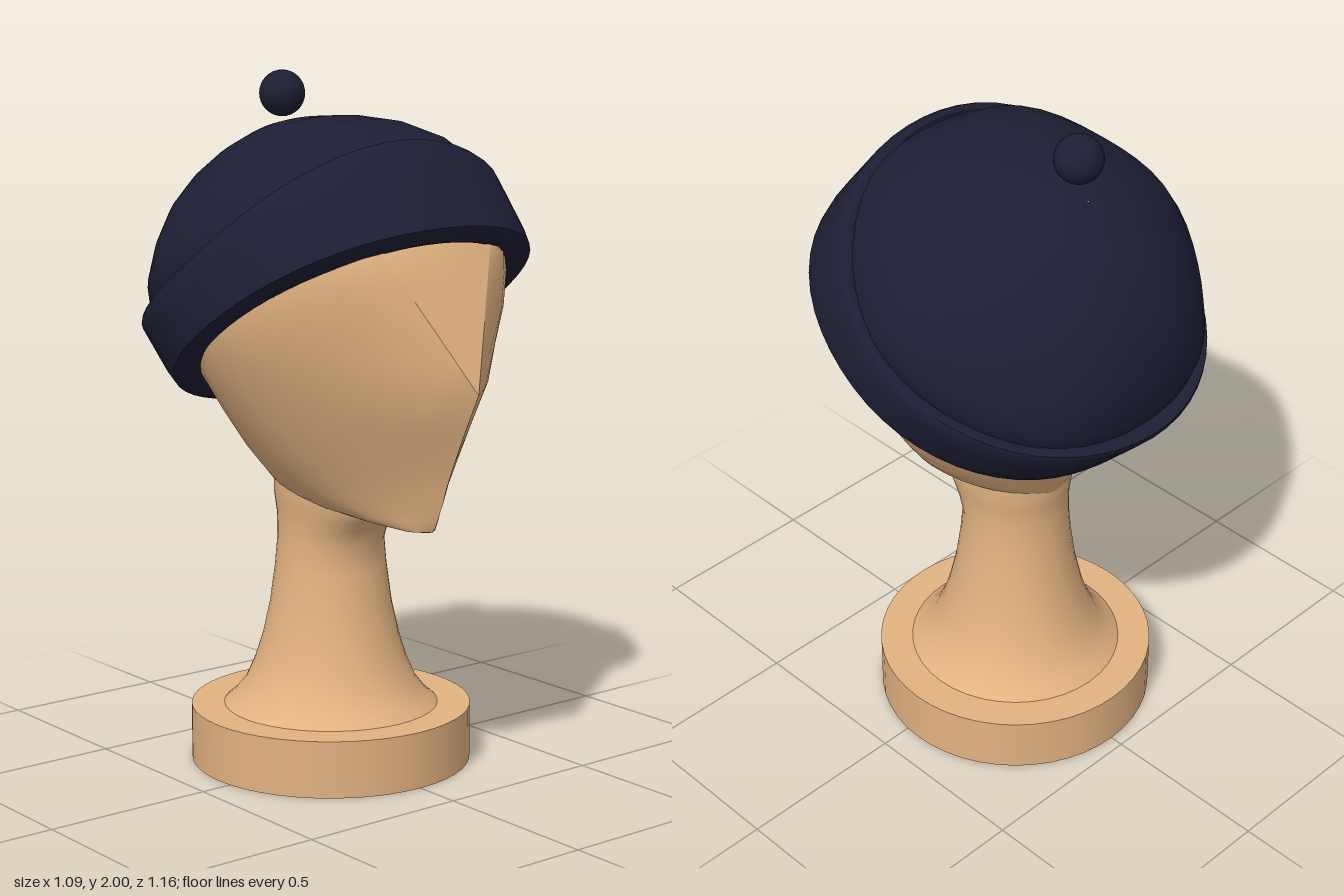
import * as THREE from 'three';
import { toCreasedNormals } from 'three/addons/utils/BufferGeometryUtils.js';

// Skin a stack of closed rings; each ring runs from +z towards +x, rings go upwards
function loft(rings, crease) {
  const n = rings[0].length, pos = [], index = [];
  rings.forEach(r => r.forEach(p => pos.push(p[0], p[1], p[2])));
  for (let i = 0; i < rings.length - 1; i++) {
    for (let j = 0; j < n; j++) {
      const a = i * n + j, b = i * n + (j + 1) % n;
      index.push(a, b, b + n, a, b + n, a + n);
    }
  }
  const g = new THREE.BufferGeometry();
  g.setAttribute('position', new THREE.Float32BufferAttribute(pos, 3));
  g.setIndex(index);
  return toCreasedNormals(g, crease);
}

function ringOf(count, fn) {
  return Array.from({ length: count }, (_, i) => fn(i / count * Math.PI * 2));
}

// Head cross-section: pointed or flat-fronted nose line, round back
function headRing([y, zf, zb, w, zc]) {
  const flat = Math.min(Math.max(0, (y - 1.16) * 0.51), 0.2, w * 0.5);
  const k = 0.45 + 0.35 * THREE.MathUtils.smoothstep(y, 1.16, 1.6);
  const half = [];
  for (let i = 0; i <= 8; i++) {
    const t = i / 8, u = 1 - t;
    half.push([u * u * flat + (1 - u * u) * w, y,
      zc + (zf - zc) * (u * u + 2 * u * t * k)]);
  }
  for (let i = 1; i < 9; i++) {
    const a = i / 9 * Math.PI / 2;
    half.push([w * Math.cos(a), y, zc + (zb - zc) * Math.sin(a)]);
  }
  const mirrored = half.map(([x, yy, z]) => [-x, yy, z]).reverse();
  return [[0, y, zf], ...half, [0, y, zb], ...mirrored];
}

export function createModel() {
  const wood = new THREE.MeshStandardMaterial({ color: 0xe2b281 });
  wood.name = 'wood';
  const navy = new THREE.MeshStandardMaterial({ color: 0x1d1e34 });
  navy.name = 'navy knit';

  const model = new THREE.Group();
  const add = (name, geometry, material, parent = model) => {
    const m = new THREE.Mesh(geometry, material);
    m.name = name;
    parent.add(m);
    return m;
  };

  // Round base
  add('base', new THREE.CylinderGeometry(0.41, 0.41, 0.165, 48), wood)
    .position.set(0, 0.0825, -0.05);

  // Flared neck, its top front drawn forward into the jaw
  const neckProfile = [[0.32, 0.16], [0.285, 0.19], [0.25, 0.235], [0.222, 0.3], [0.2, 0.37],
    [0.178, 0.47], [0.163, 0.58], [0.156, 0.66], [0.156, 0.71], [0.157, 0.74], [0.161, 0.77],
    [0.165, 0.8], [0.164, 0.88]];
  const neckRings = neckProfile.map(([r, y]) => ringOf(40, a => {
    const pull = 0.07 * Math.max(0, Math.cos(a)) * THREE.MathUtils.smoothstep(y, 0.66, 0.78);
    return [Math.sin(a) * r, y, Math.cos(a) * r - 0.05 + pull];
  }));
  add('neck', loft(neckRings, 0.9), wood);

  // Head: rows of height, front z, back z, half width, z of the widest point
  const headRows = [
    [0.746, 0.385, 0.375, 0.004, 0.38],
    [0.751, 0.405, 0.3, 0.05, 0.345],
    [0.767, 0.417, 0.1, 0.1, 0.26],
    [0.785, 0.425, -0.2, 0.137, 0.19],
    [0.81, 0.435, -0.216, 0.172, 0.13],
    [0.84, 0.448, -0.23, 0.203, 0.09],
    [0.88, 0.46, -0.25, 0.235, 0.065],
    [0.95, 0.49, -0.29, 0.287, 0.04],
    [1.05, 0.536, -0.35, 0.345, 0.02],
    [1.16, 0.59, -0.41, 0.403, 0],
    [1.25, 0.549, -0.445, 0.438, 0],
    [1.35, 0.503, -0.46, 0.46, 0],
    [1.45, 0.457, -0.455, 0.455, -0.01],
    [1.53, 0.42, -0.42, 0.43, -0.02],
    [1.6, 0.37, -0.37, 0.38, -0.03],
    [1.7, 0.2, -0.23, 0.25, -0.04],
    [1.76, 0.01, -0.08, 0.04, -0.04],
  ];
  add('head', loft(headRows.map(headRing), 0.5), wood);

  // Hat, tipped back on the head
  const hat = new THREE.Group();
  hat.name = 'hat';
  hat.position.set(0, 1.31, 0.045);
  hat.rotation.x = -0.578;
  model.add(hat);

  // Turned-up cuff: closed profile of radius and share of the height, high at front and
  // back, with the outside pulled out slightly on the front diagonals
  const cuffProfile = [[0.44, 0.35], [0.447, 0.04], [0.465, -0.03], [0.505, -0.035],
    [0.53, 0.02], [0.536, 0.2], [0.54, 0.6], [0.543, 0.93], [0.535, 0.99], [0.515, 1],
    [0.495, 0.94], [0.46, 0.7], [0.44, 0.35]];
  const cuffRings = cuffProfile.map(([r, f]) => ringOf(56, a => {
    const c = Math.cos(a);
    const h = 0.188 + c * c * (c > 0 ? 0.112 : 0.065);
    const radius = r + (c > 0 ? (r - 0.44) * 0.18 * Math.sin(2 * a) ** 2 : 0);
    return [Math.sin(a) * radius, f * h, c * radius - 0.042 * f];
  }));
  add('cuff', loft(cuffRings, 0.9), navy, hat);

  // Crown with soft folds: rows of radius, height and offset towards the back
  const crownProfile = [[0.47, 0.08, 0], [0.51, 0.16, -0.02], [0.518, 0.22, -0.026],
    [0.507, 0.28, -0.027], [0.464, 0.357, -0.025], [0.391, 0.443, -0.033],
    [0.307, 0.51, -0.04], [0.22, 0.562, -0.047], [0.13, 0.603, -0.05],
    [0.045, 0.62, -0.025], [0.002, 0.622, -0.02]];
  const crownRings = crownProfile.map(([r, y, shift], i) => ringOf(48, a => {
    const fold = 1 + 0.015 * Math.cos(6 * a + Math.PI) * Math.sin(i / 10 * Math.PI);
    return [Math.sin(a) * r * fold, y, Math.cos(a) * r * fold + shift];
  }));
  add('crown', loft(crownRings, 0.9), navy, hat);

  // Bobble hovering over the crown
  add('bobble', new THREE.SphereGeometry(0.067, 24, 16), navy).position.set(0, 1.933, -0.275);

  return model;
}
